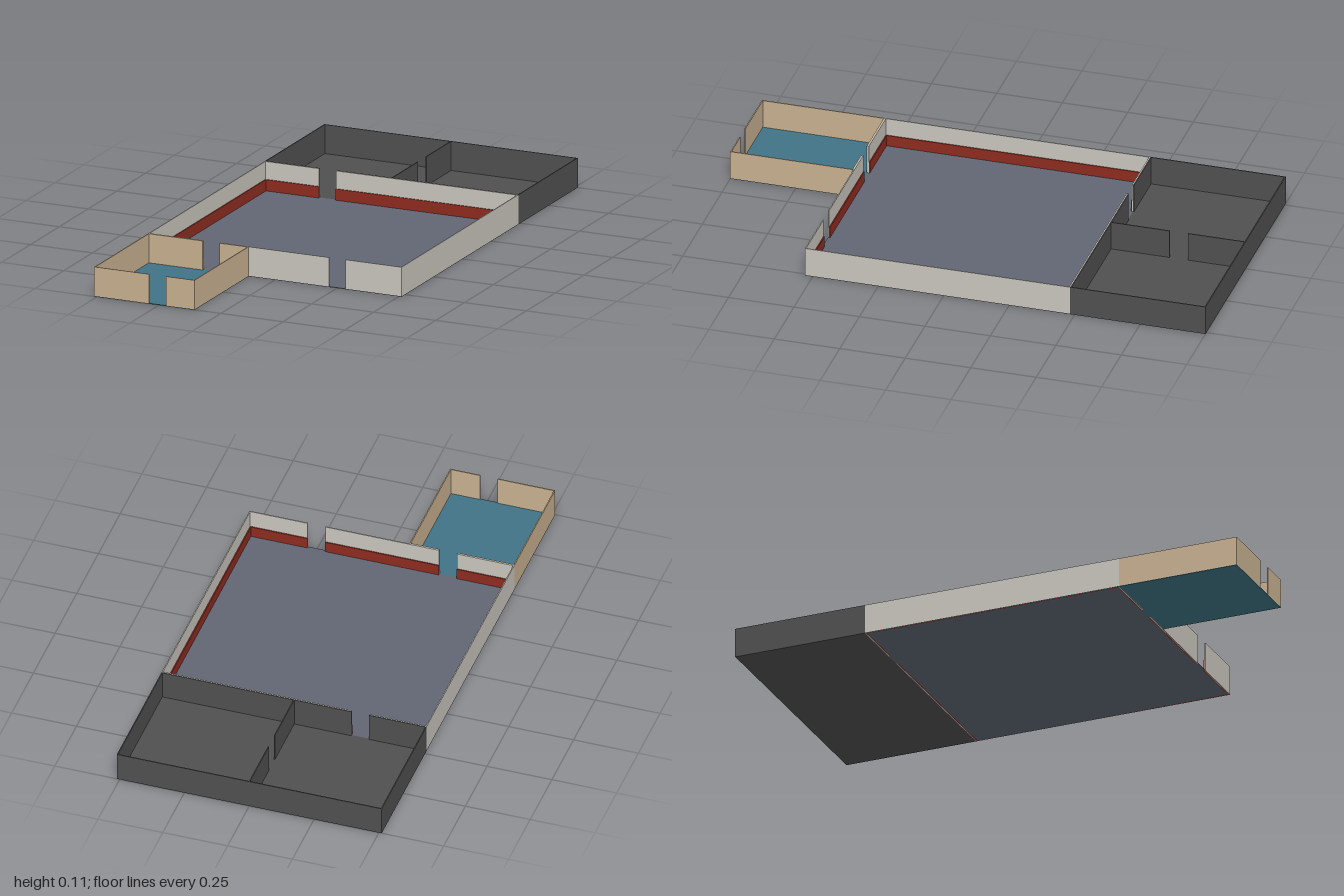
import * as THREE from 'three';

const material = (name, color) => {
  const m = new THREE.MeshStandardMaterial({ color });
  m.name = name;
  return m;
};

export function createModel() {
  const plaster = material('pale plaster', 0xc9c5bd);
  const tan = material('tan wall', 0xc8b090);
  const charcoal = material('charcoal', 0x505050);
  const red = material('red wainscot', 0x8e2c20);
  const slate = material('slate floor', 0x606673);
  const teal = material('teal floor', 0x3f7385);

  const model = new THREE.Group();
  model.name = 'floorPlan';
  const H = 0.113, BAND = 0.045, T = 0.004;
  const X = 0.511, PORCH = -0.106, BACK = -0.483, FRONT = 0.53;
  const leftDoor = [-0.29, -0.222], rightDoor = [0.217, 0.285], dividerDoor = [-0.78, -0.71];

  const room = (name) => {
    const g = new THREE.Group();
    g.name = name;
    model.add(g);
    return g;
  };

  function box(group, name, mat, x0, x1, y0, y1, z0, z1) {
    const mesh = new THREE.Mesh(new THREE.BoxGeometry(x1 - x0, y1 - y0, z1 - z0), mat);
    mesh.position.set((x0 + x1) / 2, (y0 + y1) / 2, (z0 + z1) / 2);
    mesh.name = name;
    group.add(mesh);
  }

  // A wall running along x or z, starting at offset "at" and cut by full-height doorways
  function wall(group, name, mat, along, at, from, to, doors = [], height = H) {
    const cuts = [from, ...doors.flat(), to];
    for (let i = 0; i < cuts.length; i += 2) {
      const [a, b] = [cuts[i], cuts[i + 1]];
      if (along === 'x') box(group, name, mat, a, b, 0, height, at, at + T);
      else box(group, name, mat, at, at + T, 0, height, a, b);
    }
  }

  // Main hall: plaster walls with a low red band inside
  const hall = room('hall');
  box(hall, 'hallFloor', slate, -X, X, 0, 0.002, BACK, FRONT);
  wall(hall, 'hallFrontWall', plaster, 'x', FRONT - T, -X, X, [leftDoor, rightDoor]);
  wall(hall, 'hallBackWall', plaster, 'x', BACK, -X, X, [leftDoor]);
  wall(hall, 'hallRightWall', plaster, 'z', -X, BACK, FRONT);
  wall(hall, 'hallLeftWall', plaster, 'z', X - T, BACK, FRONT);
  const inX = X - T, inBack = BACK + T, inFront = FRONT - T;
  wall(hall, 'frontBand', red, 'x', inFront - T, -inX, inX, [leftDoor, rightDoor], BAND);
  wall(hall, 'backBand', red, 'x', inBack, -inX, inX, [leftDoor], BAND);
  wall(hall, 'rightBand', red, 'z', -inX, inBack, inFront, [], BAND);
  wall(hall, 'leftBand', red, 'z', inX - T, inBack, inFront, [], BAND);

  // Two back rooms joined by a doorway in the divider
  const rear = room('backRooms');
  box(rear, 'backFloor', charcoal, -X, X, 0, 0.002, -1, BACK);
  wall(rear, 'rearWall', charcoal, 'x', -1, -X, X);
  wall(rear, 'innerWall', charcoal, 'x', BACK - T, -X, X, [leftDoor]);
  wall(rear, 'rearRightWall', charcoal, 'z', -X, -1, BACK);
  wall(rear, 'rearLeftWall', charcoal, 'z', X - T, -1, BACK);
  wall(rear, 'divider', charcoal, 'z', -T / 2, -1, BACK, [dividerDoor]);

  // Entrance porch
  const porch = room('porch');
  box(porch, 'porchFloor', teal, -X, PORCH, 0, 0.002, FRONT, 1);
  wall(porch, 'porchFrontWall', tan, 'x', 1 - T, -X, PORCH, [leftDoor]);
  wall(porch, 'porchInnerWall', tan, 'x', FRONT, -X, PORCH, [leftDoor]);
  wall(porch, 'porchRightWall', tan, 'z', -X, FRONT, 1);
  wall(porch, 'porchLeftWall', tan, 'z', PORCH - T, FRONT, 1);

  return model;
}
